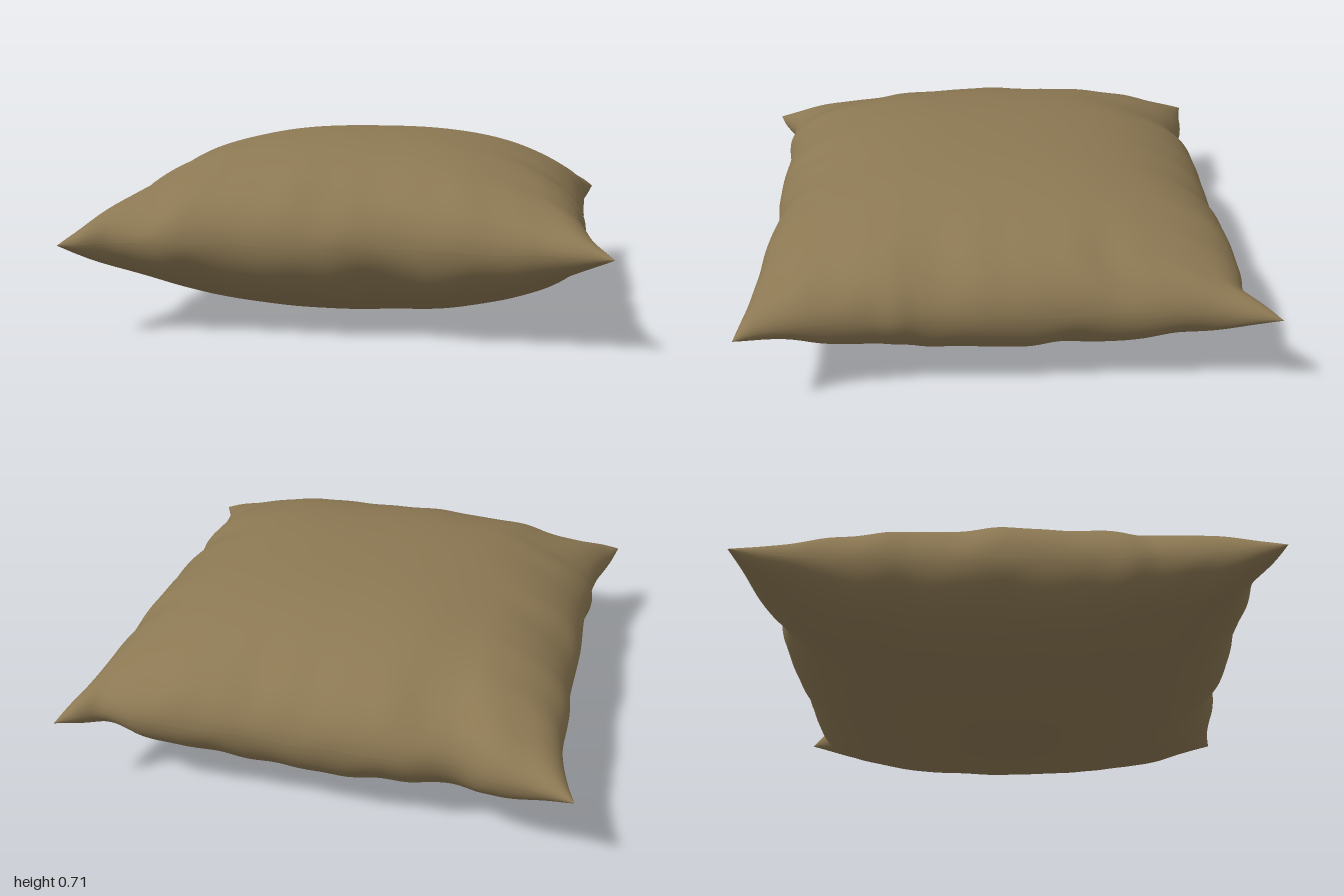
import * as THREE from 'three';

const HALF_HEIGHT = 0.355;
const SEGMENTS = 96;

// Smooth 1D curve through [position, value] pairs, position running -1..1
function curve(pairs) {
  const interp = new THREE.CubicInterpolant(pairs.map(p => p[0]), pairs.map(p => p[1]), 1, new Float32Array(1));
  return t => interp.evaluate(t)[0];
}

// Seam outline: pulled-out corners and slightly wavy sides
const left = curve([[-1, -0.99], [-0.9, -0.955], [-0.74, -0.92], [-0.45, -0.915], [-0.36, -0.905], [0, -0.91],
  [0.35, -0.9], [0.46, -0.915], [0.55, -0.905], [0.72, -0.925], [0.9, -0.97], [1, -0.99]]);
const right = curve([[-1, 0.96], [-0.9, 0.945], [-0.74, 0.915], [-0.45, 0.91], [-0.25, 0.9], [0, 0.9],
  [0.35, 0.89], [0.42, 0.9], [0.5, 0.89], [0.72, 0.905], [0.9, 0.94], [1, 0.985]]);
const back = curve([[-1, -0.99], [-0.85, -0.96], [-0.67, -0.93], [-0.56, -0.88], [-0.36, -0.908], [0, -0.908],
  [0.22, -0.9], [0.35, -0.908], [0.7, -0.91], [0.86, -0.9], [0.94, -0.96], [1, -1]]);
const front = curve([[-1, 1], [-0.93, 0.975], [-0.83, 0.92], [-0.6, 0.92], [-0.4, 0.9], [-0.25, 0.91], [0, 0.912],
  [0.23, 0.893], [0.38, 0.92], [0.65, 0.935], [0.85, 0.955], [1, 0.98]]);

// Irregular folds running inward from a side
function folds(t, phase) {
  return Math.sin(9 * t + phase) * 0.4 + Math.sin(17 * t + 2.3 * phase) * 0.4 + Math.sin(29 * t + 4.1 * phase) * 0.2;
}

function panel(side) {
  const geometry = new THREE.PlaneGeometry(2, 2, SEGMENTS, SEGMENTS).rotateX(-Math.PI / 2);
  const pos = geometry.attributes.position;
  for (let i = 0; i < pos.count; i++) {
    // Rows gather near the seam, where the cloth curves most
    const u = Math.sin(pos.getX(i) * Math.PI / 2);
    const v = Math.sin(pos.getZ(i) * Math.PI / 2);
    const x = THREE.MathUtils.lerp(left(v), right(v), (u + 1) / 2);
    const z = THREE.MathUtils.lerp(back(u), front(u), (v + 1) / 2);

    // Stuffed profile
    const a = Math.max(0, 1 - Math.abs(u) ** 2.5);
    const b = Math.max(0, 1 - Math.abs(v) ** 2.5);
    const puff = Math.sqrt(a * b);

    // Creases fade toward the middle and vanish at the seam
    const bandU = Math.abs(u) ** 7 * Math.sqrt(a) * Math.sqrt(b);
    const bandV = Math.abs(v) ** 7 * Math.sqrt(b) * Math.sqrt(a);
    const crease = 0.055 * (bandU * folds(v, 1 + Math.sign(u) + side * 0.6) + bandV * folds(u, 3 + Math.sign(v) + side * 0.6));

    // The seam itself wanders a little between the corners
    const seam = 0.007 * (Math.abs(u) ** 8 * b * folds(v, 2 + Math.sign(u)) + Math.abs(v) ** 8 * a * folds(u, 5 + Math.sign(v)));
    pos.setXYZ(i, x, HALF_HEIGHT + seam + side * (HALF_HEIGHT * puff + crease), z);
  }
  // The lower panel is mirrored, so its faces are turned round
  if (side < 0) {
    const idx = geometry.index;
    for (let i = 0; i < idx.count; i += 3) {
      const k = idx.getX(i);
      idx.setX(i, idx.getX(i + 1));
      idx.setX(i + 1, k);
    }
  }
  geometry.computeVertexNormals();
  return geometry;
}

export function createModel() {
  const group = new THREE.Group();
  group.name = 'cushion';
  const cloth = new THREE.MeshStandardMaterial({ color: 0x8c7853 });
  for (const [name, side] of [['topPanel', 1], ['bottomPanel', -1]]) {
    const mesh = new THREE.Mesh(panel(side), cloth);
    mesh.name = name;
    group.add(mesh);
  }
  return group;
}
